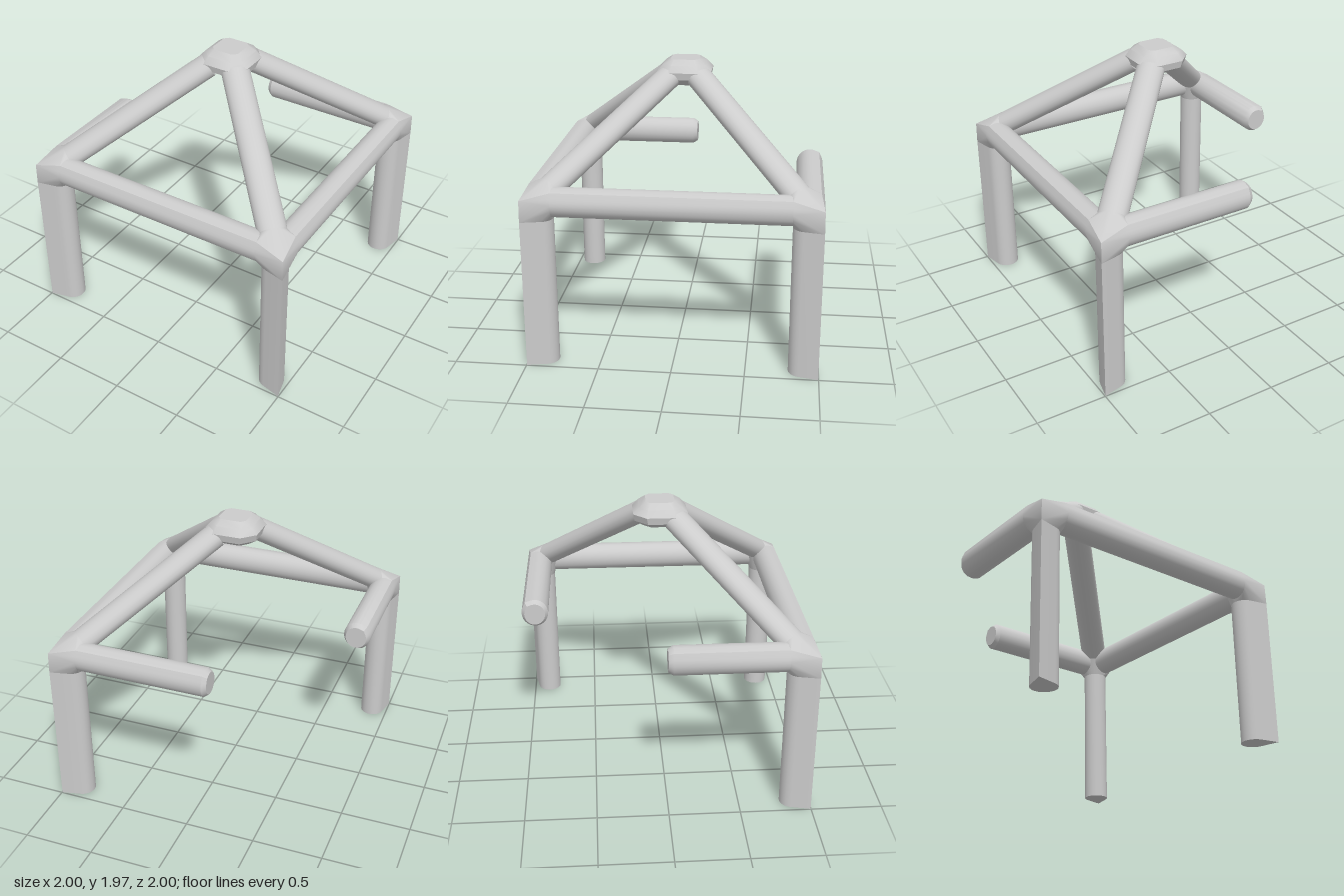
import * as THREE from 'three';
import { ConvexGeometry } from 'three/addons/geometries/ConvexGeometry.js';
import { toCreasedNormals } from 'three/addons/utils/BufferGeometryUtils.js';

const material = new THREE.MeshStandardMaterial({ color: 0xcccccc });
const V = (x, y, z) => new THREE.Vector3(x, y, z);
const SIDES = 28;

// Smooth convex solid spanning a set of points
function hull(name, points) {
  const mesh = new THREE.Mesh(toCreasedNormals(new ConvexGeometry(points), 0.6), material);
  mesh.name = name;
  return mesh;
}

// Ellipse around c with half axes a and b
function ring(c, a, b) {
  return Array.from({ length: SIDES }, (_, i) => {
    const t = (i / SIDES) * Math.PI * 2;
    return c.clone().addScaledVector(a, Math.cos(t)).addScaledVector(b, Math.sin(t));
  });
}

// Post section: teardrop with its sharp edge on the outer corner
const postRing = (sx, sz, y) => [
  ...ring(V(0.88 * sx, y, 0.88 * sz), V(0.088, 0, 0), V(0, 0, 0.088)),
  V(0.997 * sx, y, 0.997 * sz),
];

// Beam section at position t along x or z, on the given side, with an eave edge
function beamRing(axis, side, t, k = 1) {
  const put = (out, y) => (axis === 'x' ? V(t, y, out * side) : V(out * side, y, t));
  const pts = [];
  for (let i = 0; i < SIDES; i++) {
    const a = (i / SIDES) * Math.PI * 2;
    pts.push(put(0.904 + 0.095 * k * Math.cos(a), 1.172 + 0.102 * k * Math.sin(a)));
  }
  pts.push(put(0.904 + 0.068 * k, 1.172 + 0.083 * k));
  return pts;
}

// Hip section at horizontal distance d from the centre, wider than it is deep
function hipRing(sx, sz, d) {
  const across = V(sx, 0, -sz).normalize().multiplyScalar(0.1);
  const up = V(0.364 * sx, 0.857, 0.364 * sz).normalize().multiplyScalar(0.08);
  return ring(V(d * sx, 1.175 + 0.85 * (0.9 - d), d * sz), across, up);
}

export function createModel() {
  const model = new THREE.Group();
  model.name = 'pavilionFrame';
  const corners = [[-1, 1, 'frontRight'], [1, 1, 'frontLeft'], [1, -1, 'backLeft']];

  // Posts, joints and hip rafters at three corners
  for (const [sx, sz, label] of corners) {
    model.add(hull(label + 'Post', [...postRing(sx, sz, 0), ...postRing(sx, sz, 1.05)]));
    model.add(hull(label + 'Joint', [
      ...postRing(sx, sz, 1.05),
      ...beamRing('x', sz, 0.79 * sx),
      ...beamRing('z', sx, 0.79 * sz),
      ...hipRing(sx, sz, 0.82),
      V(0.995 * sx, 1.2, 0.995 * sz),
    ]));
    model.add(hull(label + 'Hip', [...hipRing(sx, sz, 0.82), ...hipRing(sx, sz, 0.11)]));
  }

  // Full eave beams
  model.add(hull('frontBeam', [...beamRing('x', 1, -0.79), ...beamRing('x', 1, 0.79)]));
  model.add(hull('leftBeam', [...beamRing('z', 1, -0.79), ...beamRing('z', 1, 0.79)]));

  // Half-length beams with bevelled free ends
  model.add(hull('backBeamStub', [
    ...beamRing('x', -1, 0.79), ...beamRing('x', -1, -0.13), ...beamRing('x', -1, -0.16, 0.78),
  ]));
  model.add(hull('rightBeamStub', [
    ...beamRing('z', -1, 0.79), ...beamRing('z', -1, 0.03), ...beamRing('z', -1, -0.005, 0.78),
  ]));

  // Rounded hub at the peak: octagon levels [y, half width, half side]
  const levels = [[1.97, 0.1, 0.07], [1.935, 0.15, 0.09], [1.89, 0.19, 0.1], [1.84, 0.18, 0.09], [1.8, 0.12, 0.07], [1.78, 0.07, 0.04]];
  const hub = [];
  for (const [y, w, s] of levels) {
    for (const a of [-1, 1]) for (const b of [-1, 1]) hub.push(V(a * w, y, b * s), V(a * s, y, b * w));
  }
  model.add(hull('peakHub', hub));
  return model;
}
